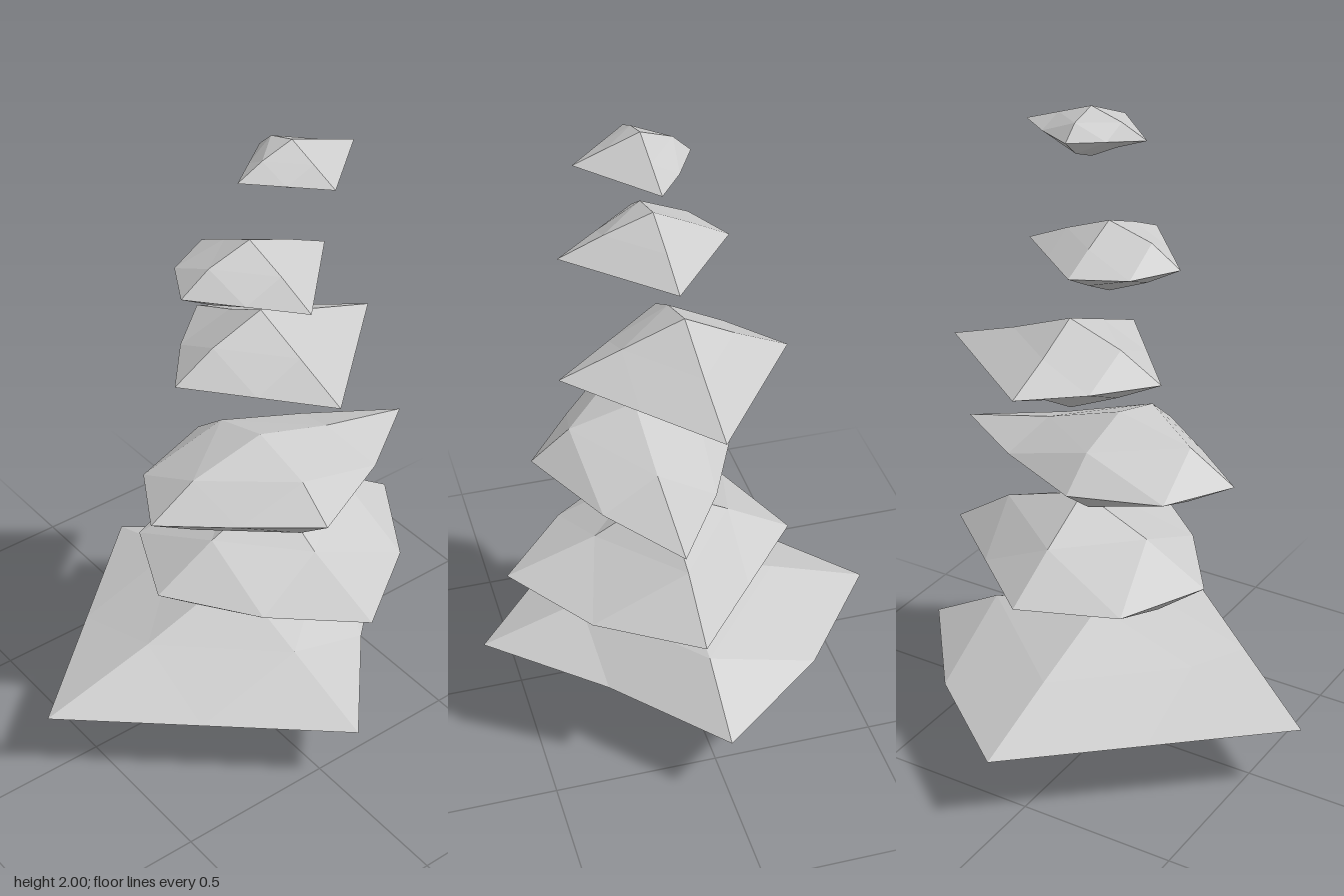
import * as THREE from 'three';

// One entry per floating shard, bottom to top:
// at: centre; reach: left(-x), right(+x), back, front, up, down;
// bulge: how far each edge midpoint is pushed out (0.5 = straight edge)
const EDGES = ['-+0', '++0', '+-0', '--0', '0++', '0+-', '0-+', '0--', '-0-', '+0-', '-0+', '+0+'];
const SHARDS = [
  { at: [0.045, 0.222, 0], reach: [0.715, 0.62, 0.625, 0.62, 0.208, 0.222],
    bulge: [0.47, 0.62, 0.57, 0.46, 0.5, 0.51, 0.5, 0.49, 0.5, 0.56, 0.5, 0.47] },
  { at: [0.14, 0.565, 0.065], reach: [0.433, 0.471, 0.4, 0.485, 0.215, 0.195],
    bulge: [0.53, 0.59, 0.55, 0.63, 0.44, 0.51, 0.43, 0.48, 0.7, 0.5, 0.56, 0.6] },
  { at: [0.045, 0.905, 0.125], reach: [0.4, 0.555, 0.305, 0.317, 0.15, 0.155],
    bulge: [0.62, 0.46, 0.49, 0.6, 0.63, 0.62, 0.62, 0.6, 0.69, 0.54, 0.51, 0.55] },
  { at: [0.14, 1.246, 0], reach: [0.312, 0.418, 0.31, 0.37, 0.143, 0.148],
    bulge: [0.56, 0.48, 0.5, 0.52, 0.5, 0.48, 0.47, 0.45, 0.54, 0.5, 0.5, 0.5] },
  { at: [0.045, 1.586, 0.065], reach: [0.238, 0.275, 0.222, 0.276, 0.106, 0.112],
    bulge: [0.6, 0.52, 0.48, 0.54, 0.52, 0.51, 0.44, 0.51, 0.65, 0.5, 0.5, 0.5] },
  { at: [0.14, 1.927, 0.125], reach: [0.185, 0.222, 0.14, 0.187, 0.073, 0.077],
    bulge: [0.55, 0.5, 0.46, 0.47, 0.5, 0.64, 0.4, 0.6, 0.5, 0.54, 0.5, 0.5] },
];

const sign = (v) => (Math.abs(v) < 0.01 ? 0 : Math.sign(v));
const mark = (s) => (s > 0 ? '+' : s < 0 ? '-' : '0');

// Once-subdivided octahedron whose tips and edge midpoints are moved outwards
function shardGeometry({ reach, bulge }) {
  const [left, right, back, front, up, down] = reach;
  const geo = new THREE.OctahedronGeometry(1, 1);
  geo.deleteAttribute('uv');
  const p = geo.attributes.position;
  for (let i = 0; i < p.count; i++) {
    const [x, y, z] = [p.getX(i), p.getY(i), p.getZ(i)].map(sign);
    const edge = EDGES.indexOf(mark(x) + mark(y) + mark(z));
    const k = edge < 0 ? 1 : bulge[edge];
    p.setXYZ(i, k * x * (x < 0 ? left : right), k * y * (y < 0 ? down : up), k * z * (z < 0 ? back : front));
  }
  geo.computeVertexNormals();
  return geo;
}

export function createModel() {
  const group = new THREE.Group();
  group.name = 'shardStack';
  const stone = new THREE.MeshStandardMaterial({ color: 0xcccccc, flatShading: true });
  SHARDS.forEach((shard, i) => {
    const mesh = new THREE.Mesh(shardGeometry(shard), stone);
    mesh.name = `shard${i + 1}`;
    mesh.position.set(...shard.at);
    group.add(mesh);
  });
  return group;
}
